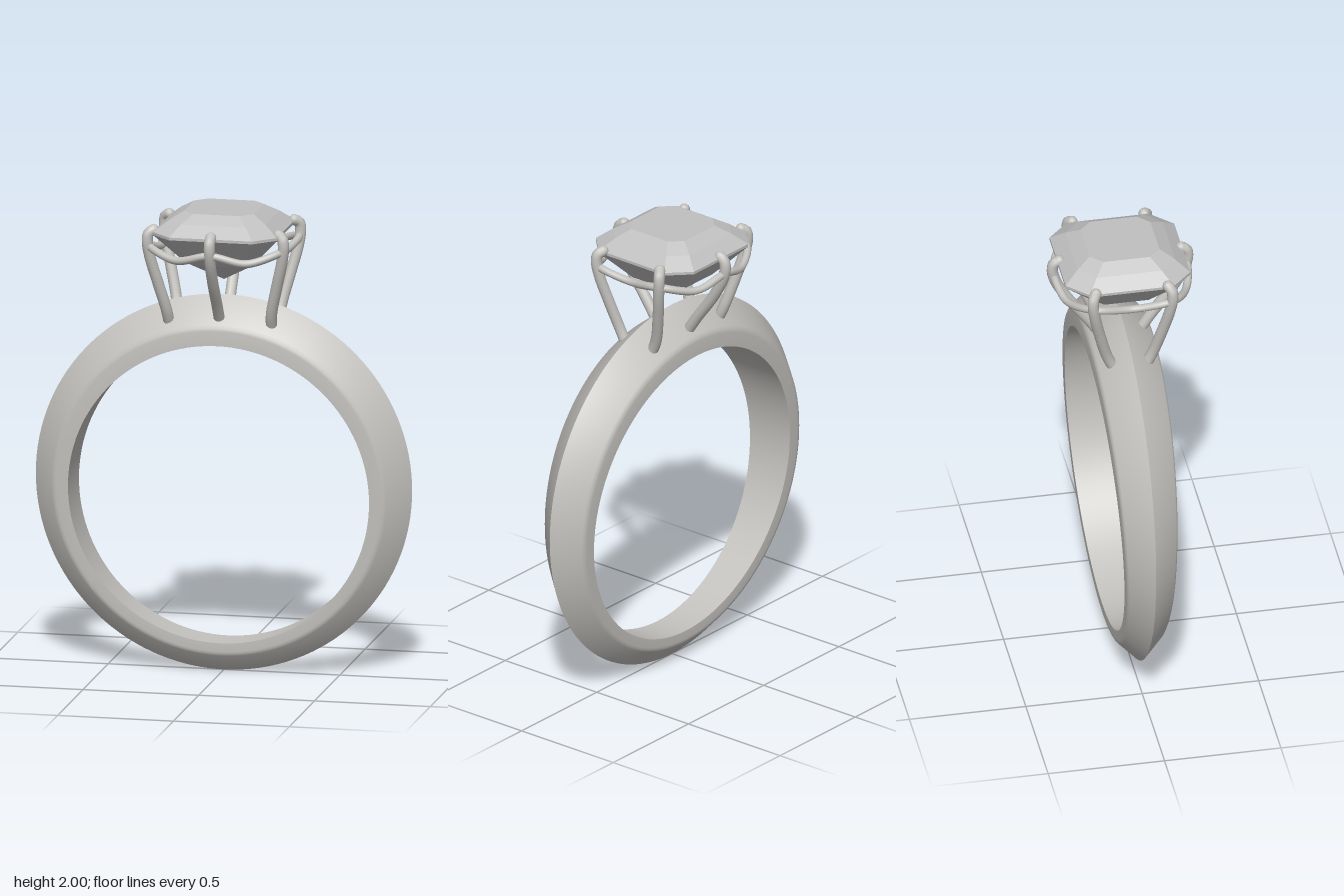
import * as THREE from 'three';
import { toCreasedNormals } from 'three/addons/utils/BufferGeometryUtils.js';

// Skin rows of points; each row is a closed loop
function loft(rows, closeRows, crease) {
  const n = rows.length, m = rows[0].length, index = [];
  for (let i = 0; i < (closeRows ? n : n - 1); i++) {
    for (let j = 0; j < m; j++) {
      const a = i * m + j, b = ((i + 1) % n) * m + j;
      const c = i * m + (j + 1) % m, d = ((i + 1) % n) * m + (j + 1) % m;
      index.push(a, b, c, b, d, c);
    }
  }
  const geo = new THREE.BufferGeometry();
  geo.setAttribute('position', new THREE.Float32BufferAttribute(rows.flat(2), 3));
  geo.setIndex(index);
  return toCreasedNormals(geo, crease);
}

// Knife-edged band, wider at the top than at the bottom
function bandGeometry() {
  // [centre height, radius, share of the half width]
  const half = [[0.78, 0.65, 1], [0.793, 0.7, 1], [0.795, 0.711, 0.985], [0.797, 0.723, 0.92]];
  const profile = [
    [0.78, 0.65, -1],
    ...half,
    [0.8125, 0.8125, 0],
    ...half.slice(1).reverse().map(([c, r, w]) => [c, r, -w]),
  ];
  const rows = [];
  const steps = 128;
  for (let i = 0; i < steps; i++) {
    const a = (i / steps) * Math.PI * 2;
    const width = 0.109 + 0.032 * Math.cos(a);
    rows.push(profile.map(([c, r, w]) => [r * Math.sin(a), c + r * Math.cos(a), w * width]));
  }
  return loft(rows, true, 0.45);
}

// Step-cut stone made of cut-corner squares
function stoneGeometry() {
  // [height, half width, corner cut]
  const layers = [
    [2, 0, 0], [2, 0.15, 0.05], [1.965, 0.21, 0.07], [1.92, 0.268, 0.088],
    [1.908, 0.268, 0.088], [1.775, 0.145, 0.05], [1.69, 0, 0],
  ];
  const rows = layers.map(([y, h, c]) => {
    const k = h - c;
    return [[-k, h], [k, h], [h, k], [h, -k], [k, -h], [-k, -h], [-h, -k], [-h, k]]
      .map(([x, z]) => [x, y, z]);
  });
  return loft(rows, false, 0.01);
}

export function createModel() {
  const metal = new THREE.MeshStandardMaterial({ color: 0xc4c2be });
  metal.name = 'metal';
  const gem = new THREE.MeshStandardMaterial({ color: 0xc0c0c0 });
  gem.name = 'gem';

  const ring = new THREE.Group();
  ring.name = 'ring';
  const add = (parent, name, geo, mat) => {
    const mesh = new THREE.Mesh(geo, mat);
    mesh.name = name;
    parent.add(mesh);
    return mesh;
  };

  add(ring, 'band', bandGeometry(), metal);
  add(ring, 'stone', stoneGeometry(), gem);

  // Six prongs, curving out of the band and hooking over the stone
  const middle = [
    [0, 1.52, 0.08], [0, 1.6, 0.133], [0, 1.72, 0.22], [0, 1.82, 0.276],
    [0, 1.88, 0.291], [0, 1.912, 0.284], [0, 1.925, 0.262],
  ];
  const corner = [
    [0.22, 1.5, 0.07], [0.227, 1.57, 0.1], [0.258, 1.7, 0.136], [0.285, 1.81, 0.161],
    [0.294, 1.88, 0.171], [0.289, 1.912, 0.168], [0.27, 1.925, 0.155],
  ];
  const prongs = new THREE.Group();
  prongs.name = 'prongs';
  ring.add(prongs);
  const addProng = (points, sx, sz) => {
    const path = points.map(([x, y, z]) => new THREE.Vector3(x * sx, y, z * sz));
    const curve = new THREE.CatmullRomCurve3(path);
    add(prongs, 'prong', new THREE.TubeGeometry(curve, 32, 0.024, 12), metal);
    const tip = add(prongs, 'prongTip', new THREE.SphereGeometry(0.024, 12, 8), metal);
    tip.position.copy(path[path.length - 1]);
  };
  for (const sz of [1, -1]) {
    addProng(middle, 1, sz);
    for (const sx of [1, -1]) addProng(corner, sx, sz);
  }

  // Wavy rail joining the prongs below the girdle
  const quarter = [[0, 1.85, 0.285], [0.15, 1.818, 0.255], [0.287, 1.855, 0.165]];
  const side = [[0.268, 1.825, 0]];
  const mirrorZ = [...quarter].reverse().map(([x, y, z]) => [x, y, -z]);
  const rightHalf = [...quarter, ...side, ...mirrorZ];
  const leftHalf = rightHalf.slice(1, -1).reverse().map(([x, y, z]) => [-x, y, z]);
  const railPath = new THREE.CatmullRomCurve3(
    [...rightHalf, ...leftHalf].map((p) => new THREE.Vector3(...p)), true);
  add(ring, 'galleryRail', new THREE.TubeGeometry(railPath, 128, 0.017, 10, true), metal);

  return ring;
}
